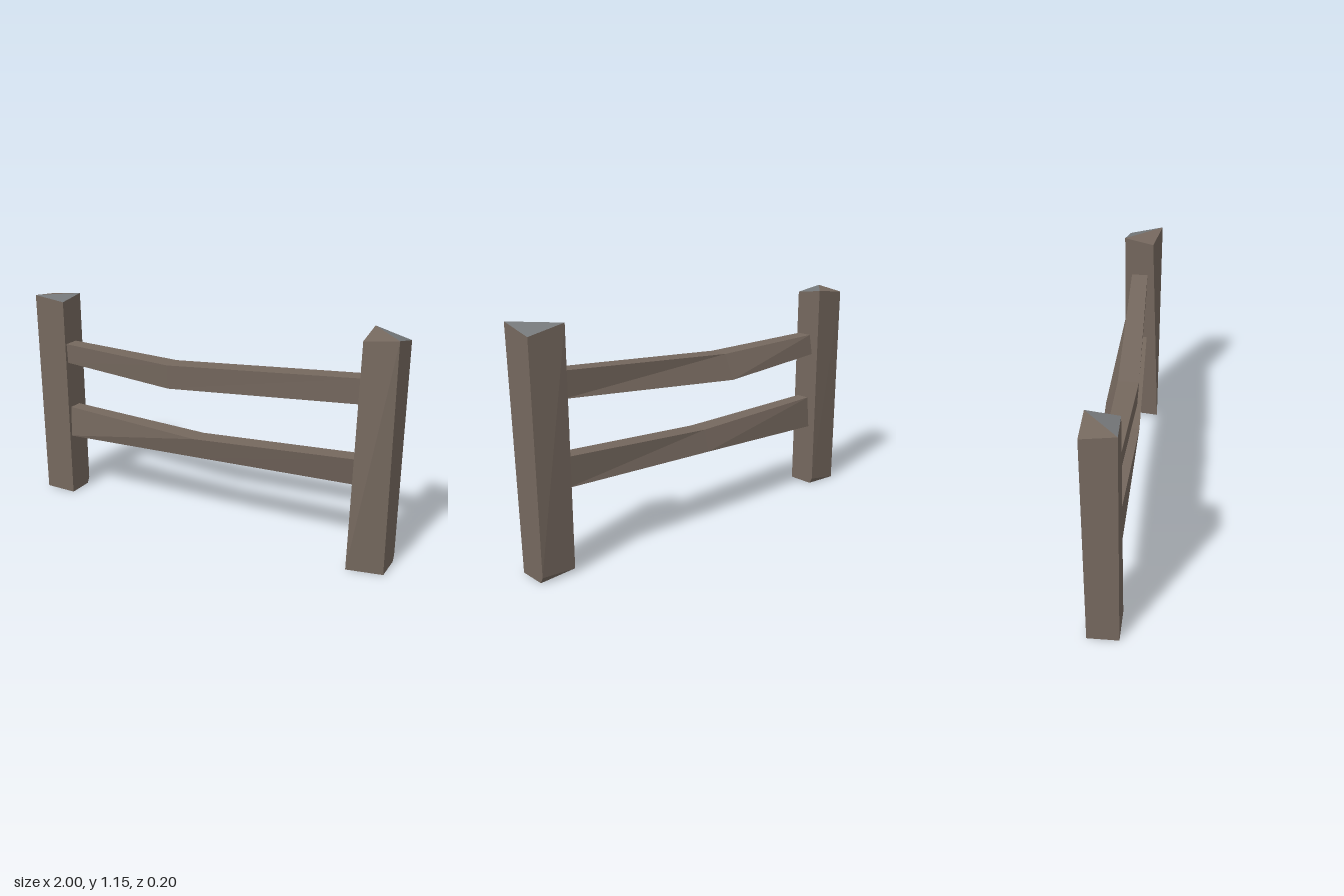
import * as THREE from 'three';

const wood = new THREE.MeshStandardMaterial({ color: 0x75685e, flatShading: true });
const endGrain = new THREE.MeshStandardMaterial({ color: 0x75787a, flatShading: true });

// Flat-shaded mesh from polygons, each fanned from its first corner
function facetedMesh(name, polygons, material) {
  const points = [];
  for (const p of polygons) {
    for (let i = 1; i < p.length - 1; i++) points.push(...p[0], ...p[i], ...p[i + 1]);
  }
  const geometry = new THREE.BufferGeometry();
  geometry.setAttribute('position', new THREE.Float32BufferAttribute(points, 3));
  geometry.computeVertexNormals();
  const mesh = new THREE.Mesh(geometry, material);
  mesh.name = name;
  return mesh;
}

// Hewn post. Corners run front-left, front-right, back-right, back-left as [y, z];
// ridge is the corner where the crease across the top starts.
function post(name, x0, x1, bottom, top, ridge) {
  const xs = [x0, x1, x1, x0];
  const place = ([y, z], i) => [xs[i], y, z];
  const b = bottom.map(place);
  const t = top.map(place);
  const chip = [x1, 0.03, -0.096]; // chipped foot at the back corner
  const group = new THREE.Group();
  group.name = name;
  group.add(facetedMesh(name + 'Shaft', [
    [b[0], b[1], t[1], t[0]],
    [b[1], b[2], chip, t[2], t[1]],
    [chip, b[3], t[3], t[2]],
    [b[2], b[3], chip],
    [b[3], b[0], t[0], t[3]],
    [b[3], b[2], b[1], b[0]],
  ], wood));

  // Creased top made of two sloping facets
  const facets = ridge === 0
    ? [[t[0], t[2], t[3]], [t[0], t[1], t[2]]]
    : [[t[0], t[1], t[3]], [t[1], t[2], t[3]]];
  group.add(facetedMesh(name + 'TopLight', [facets[0]], wood));
  group.add(facetedMesh(name + 'TopGrey', [facets[1]], endGrain));
  return group;
}

// Rail lofted through sections: [x, yLow, yHigh, zTopBack, zTopFront, zLowFront, zLowBack]
function rail(name, sections) {
  const rings = sections.map(([x, lo, hi, tb, tf, bf, bb]) =>
    [[x, hi, tb], [x, hi, tf], [x, lo, bf], [x, lo, bb]]);
  const polygons = [[...rings[0]].reverse(), rings[rings.length - 1]];
  for (let s = 0; s < rings.length - 1; s++) {
    const a = rings[s], n = rings[s + 1];
    for (let i = 0; i < 4; i++) {
      const j = (i + 1) % 4;
      polygons.push([a[j], n[j], n[i], a[i]]);
    }
  }
  return facetedMesh(name, polygons, wood);
}

export function createModel() {
  const model = new THREE.Group();
  model.name = 'fence';

  // Posts
  model.add(post('rightPost', -1, -0.825,
    [[0, 0.055], [0, 0.055], [0, -0.08], [0, -0.095]],
    [[1.115, 0.055], [1.095, 0.05], [1.115, -0.098], [1.095, -0.1]], 0));
  model.add(post('leftPost', 0.825, 1,
    [[0, 0.1], [0, 0.06], [0, -0.08], [0.02, -0.095]],
    [[1.12, 0.06], [1.155, 0.1], [1.115, -0.08], [1.155, -0.095]], 1));

  // Sagging rails
  model.add(rail('upperRail', [
    [-0.828, 0.76, 0.865, -0.04, 0.04, 0.035, -0.06],
    [-0.18, 0.73, 0.855, -0.033, 0.068, 0.06, -0.09],
    [0.828, 0.815, 0.94, -0.057, 0.03, 0.025, -0.062],
  ]));
  model.add(rail('lowerRail', [
    [-0.828, 0.338, 0.505, -0.04, 0.03, 0.04, -0.055],
    [-0.03, 0.375, 0.485, -0.04, 0.06, 0.035, -0.07],
    [0.828, 0.4, 0.545, -0.055, 0.03, -0.005, -0.06],
  ]));
  return model;
}
